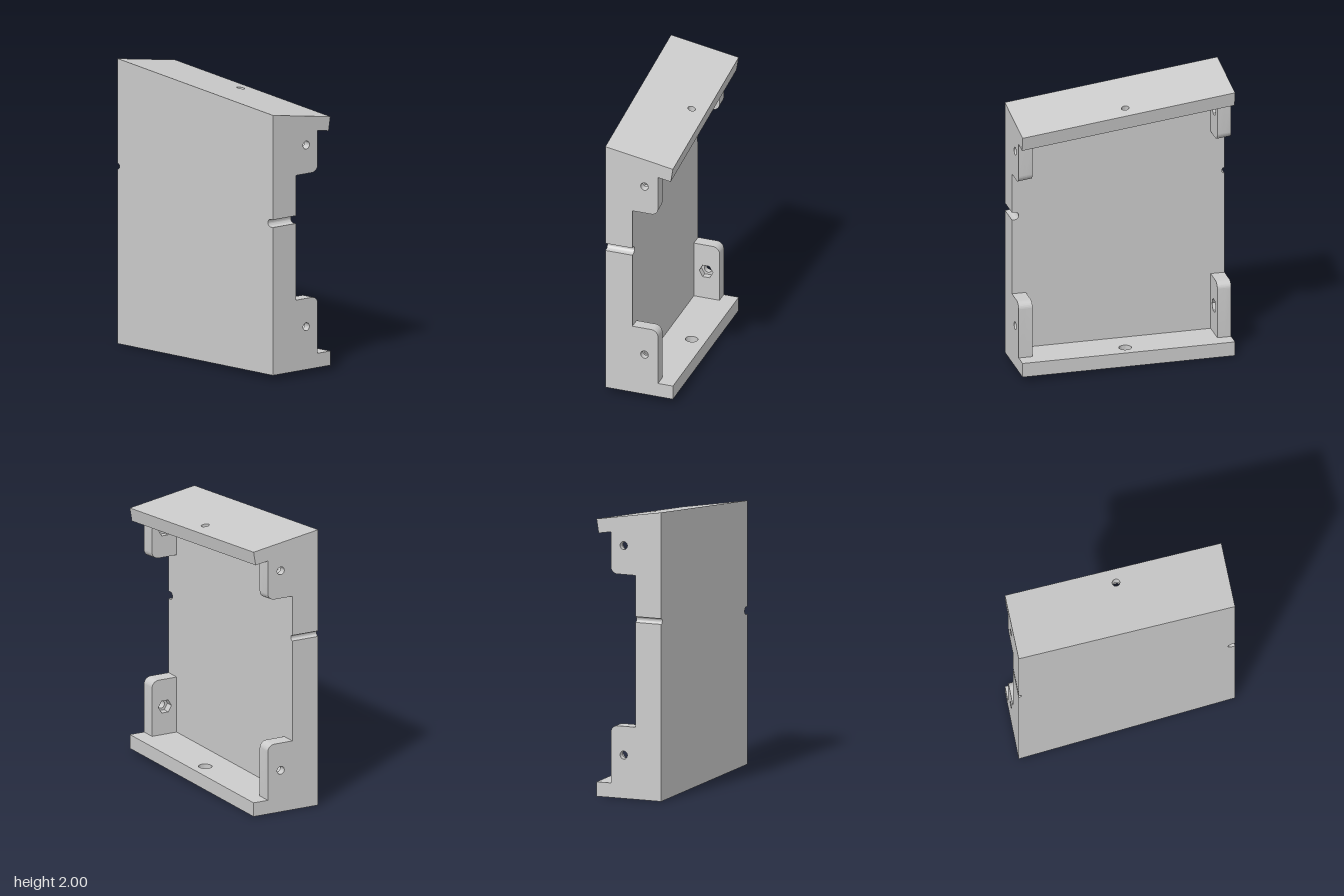
import * as THREE from 'three';
import { toCreasedNormals } from 'three/addons/utils/BufferGeometryUtils.js';

const END = 0.767;          // half length along z
const THICK = 0.1;          // flange thickness
const SKEW = 0.0945;        // sideways shear along z
const TILT = 0.16;          // roof fall from left to right
const ROOF_Z = -0.091, FLOOR_Z = 0.023;
const roof = (u, z) => 1.89 - TILT * u + ROOF_Z * z;
const floor = (z) => 0.0175 + FLOOR_Z * z;

// Extrude a shape, then move every vertex by a rule (u, v, t) -> [u, y, z], sheared along z
function bent(name, shape, depth, rule) {
  const geo = new THREE.ExtrudeGeometry(shape, { depth, bevelEnabled: false, curveSegments: 16 });
  const p = geo.attributes.position;
  for (let i = 0; i < p.count; i++) {
    const [u, y, z] = rule(p.getX(i), p.getY(i), p.getZ(i));
    p.setXYZ(i, u + SKEW * z, y, z);
  }
  const mesh = new THREE.Mesh(toCreasedNormals(geo, 0.6),
    new THREE.MeshStandardMaterial({ color: 0xcccccc }));
  mesh.name = name;
  return mesh;
}

function roundHole(x, y, r) {
  return new THREE.Path().absarc(x, y, r, 0, Math.PI * 2, true);
}

function hexHole(x, y, r) {
  const pts = [];
  for (let i = 0; i < 6; i++) {
    const a = -i * Math.PI / 3;
    pts.push(new THREE.Vector2(x + r * Math.cos(a), y + r * Math.sin(a)));
  }
  return new THREE.Path(pts);
}

// Flange outline with a screw hole
function flangeShape(r) {
  const s = new THREE.Shape();
  s.moveTo(-0.25, -END).lineTo(0.25, -END).lineTo(0.25, END).lineTo(-0.25, END).closePath();
  s.holes.push(roundHole(0.145, 0, r));
  return s;
}

// Outer layer has the narrow hole, inner layer the wide recess
function flanges(group) {
  [['Outer', 0.027, 0], ['Recess', 0.045, THICK / 2]].forEach(([part, r, t0]) => {
    group.add(bent('topFlange' + part, flangeShape(r), THICK / 2, (u, v, t) => {
      const d = t + t0, x = u > 0 ? u - TILT * d : u;
      return [x, roof(x, v) - d, v];
    }));
    group.add(bent('bottomFlange' + part, flangeShape(r), THICK / 2,
      (u, v, t) => [u, floor(-v) + t + t0, -v]));
  });
}

// Side plate between the flanges, with a cable groove in each end
function sidePlate() {
  const s = new THREE.Shape();
  s.moveTo(-END, floor(END) + THICK);
  s.lineTo(END, floor(-END) + THICK);
  s.lineTo(END, 1.225);
  s.absarc(END, 1.245, 0.02, -Math.PI / 2, Math.PI / 2, true);
  s.lineTo(END, roof(0, -END) - THICK);
  s.lineTo(-END, roof(0, END) - THICK);
  s.lineTo(-END, 1.127);
  s.lineTo(-0.745, 1.127);
  s.absarc(-0.745, 1.1, 0.027, Math.PI / 2, -Math.PI / 2, true);
  s.lineTo(-END, 1.073);
  s.closePath();
  return bent('sidePlate', s, 0.2, (v, y, t) => {
    const u = t - 0.25;
    return [u, y > 1.5 ? y - TILT * u : y, -v];
  });
}

// Corner ear outline at z = 0; the rule slopes it along z
function earShape(upper, hex) {
  const s = new THREE.Shape(), l = -0.05, r = 0.14, c = 0.05;
  if (upper) {
    s.moveTo(l, 1.48).lineTo(r - c, 1.48);
    s.absarc(r - c, 1.48 + c, c, -Math.PI / 2, 0, false);
    s.lineTo(r, roof(r, 0) - THICK).lineTo(l, roof(l, 0) - THICK);
  } else {
    const base = floor(0) + THICK;
    s.moveTo(l, base).lineTo(r, base).lineTo(r, 0.517 - c);
    s.absarc(r - c, 0.517 - c, c, 0, Math.PI / 2, false);
    s.lineTo(l, 0.517);
  }
  s.closePath();
  const y = upper ? 1.68 : 0.318;
  s.holes.push(hex ? hexHole(0.04, y, 0.05) : roundHole(0.04, y, 0.028));
  return s;
}

export function createModel() {
  const model = new THREE.Group();
  model.name = 'sideBracket';
  flanges(model);
  model.add(sidePlate());

  // Four ears: screw hole outside, nut pocket inside
  for (const [endName, side] of [['front', 1], ['back', -1]]) {
    for (const upper of [true, false]) {
      const ear = new THREE.Group();
      ear.name = endName + (upper ? 'Upper' : 'Lower') + 'Ear';
      const slope = upper ? ROOF_Z : FLOOR_Z;
      for (const hex of [false, true]) {
        const mid = side * (END - (hex ? 0.075 : 0.025));
        ear.add(bent(hex ? 'nutPocket' : 'screwFace', earShape(upper, hex), 0.05, (u, y, t) => {
          const z = mid - 0.025 + t;
          return [u, y + slope * z, z];
        }));
      }
      model.add(ear);
    }
  }
  return model;
}
